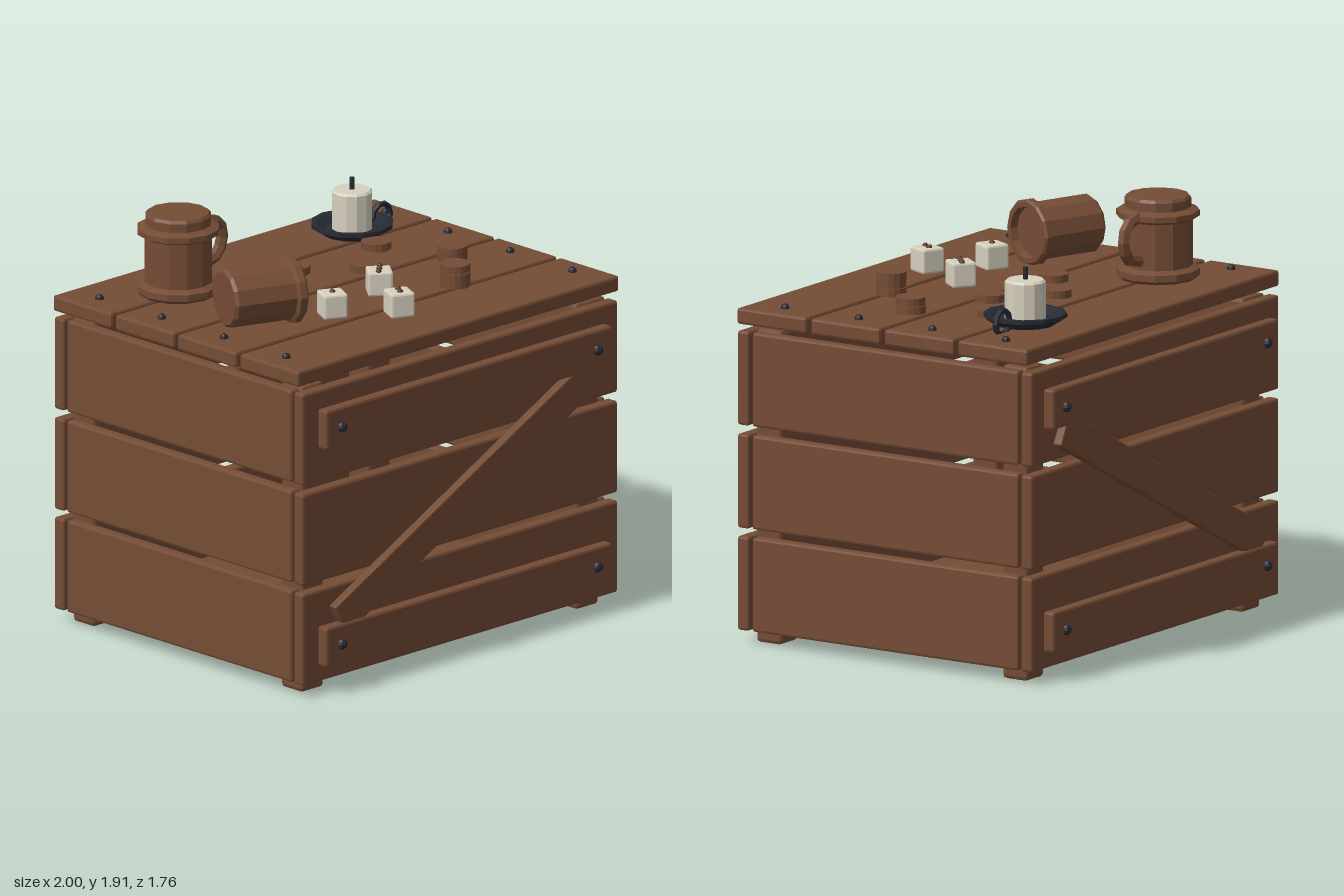
import * as THREE from 'three';
import { RoundedBoxGeometry } from 'three/addons/geometries/RoundedBoxGeometry.js';

const mat = (name, color) => Object.assign(new THREE.MeshStandardMaterial({ color }), { name });

export function createModel() {
  const wood = mat('wood', 0x744c35);
  const iron = mat('iron', 0x272a33);
  const cream = mat('cream', 0xd6d0be);
  const pipBrown = mat('pip brown', 0x5a3726);

  const root = new THREE.Group();
  root.name = 'crateTable';

  // Faceted normals for the low-poly look
  const flat = (geo) => {
    const g = geo.index ? geo.toNonIndexed() : geo;
    g.computeVertexNormals();
    return g;
  };
  const add = (parent, name, geo, material, x = 0, y = 0, z = 0) => {
    const m = new THREE.Mesh(flat(geo), material);
    m.name = name;
    m.position.set(x, y, z);
    parent.add(m);
    return m;
  };
  const group = (name, x = 0, y = 0, z = 0) => {
    const g = new THREE.Group();
    g.name = name;
    g.position.set(x, y, z);
    root.add(g);
    return g;
  };
  // Board with chamfered edges
  const board = (w, h, d, bevel = 0.012) => new RoundedBoxGeometry(w, h, d, 1, bevel);
  const lathe = (points, sides) =>
    new THREE.LatheGeometry(points.map(([r, y]) => new THREE.Vector2(r, y)), sides);

  // Floor and corner posts
  add(root, 'floor', new THREE.BoxGeometry(1.75, 0.05, 1.44), wood, 0, 0.09, 0);
  for (const sx of [-1, 1]) {
    for (const sz of [-1, 1]) {
      add(root, 'cornerPost', board(0.14, 1.43, 0.135, 0.018), wood, sx * 0.855, 0.715, sz * 0.662);
    }
  }

  // Wall planks in three rows
  for (const y of [0.272, 0.738, 1.207]) {
    for (const s of [-1, 1]) {
      add(root, 'wallPlank', board(1.96, 0.43, 0.06), wood, 0, y, s * 0.762);
      add(root, 'sidePlank', board(0.055, 0.43, 1.43), wood, s * 0.95, y, 0);
    }
  }

  // Battens, bolts and diagonal brace on front and back
  for (const s of [-1, 1]) {
    for (const y of [0.23, 1.245]) {
      add(root, 'batten', board(1.78, 0.185, 0.058), wood, 0, y, s * 0.822);
      for (const x of [-0.795, 0.795]) {
        add(root, 'bolt', new THREE.SphereGeometry(0.025, 8, 6), iron, x, y, s * 0.853);
      }
    }
    add(root, 'brace', board(1.77, 0.16, 0.045, 0.008), wood, 0, 0.737, s * 0.82).rotation.z = 0.474;
  }

  // Lid boards with their bolts
  for (const z of [-0.593, -0.197, 0.199, 0.595]) {
    add(root, 'lidPlank', board(2, 0.074, 0.372), wood, 0, 1.493, z);
    for (const x of [-0.89, 0.89]) {
      add(root, 'lidBolt', new THREE.SphereGeometry(0.02, 8, 6), iron, x, 1.533, z);
    }
  }

  // Standing mug: banded body with a stepped top
  const mug = group('standingMug', -0.575, 1.53, -0.415);
  add(mug, 'mugBody', lathe([
    [0, 0], [0.17, 0], [0.187, 0.015], [0.187, 0.045], [0.155, 0.06],
    [0.155, 0.27], [0.187, 0.285], [0.187, 0.31], [0.15, 0.325],
    [0.15, 0.365], [0.14, 0.378], [0, 0.378],
  ], 12), wood);
  const handlePath = new THREE.CatmullRomCurve3(
    [[0.13, 0.295], [0.21, 0.295], [0.265, 0.25], [0.27, 0.18], [0.23, 0.12], [0.13, 0.1]]
      .map(([x, y]) => new THREE.Vector3(x, y, 0)));
  add(mug, 'mugHandle', new THREE.TubeGeometry(handlePath, 8, 0.028, 6), wood);

  // Tipped mug lying on its side, mouth toward +x
  const tipped = group('tippedMug', -0.635, 1.672, 0.165);
  tipped.rotation.y = -0.34;
  add(tipped, 'tippedMugBody', lathe([
    [0, -0.175], [0.122, -0.175], [0.134, -0.16], [0.134, 0.125], [0.152, 0.135],
    [0.152, 0.165], [0.142, 0.175], [0.118, 0.175], [0.113, 0.14], [0, 0.14],
  ], 12), wood).rotation.z = -Math.PI / 2;

  // Candle in a dish with a ring handle
  const candle = group('candleHolder', 0.57, 1.53, -0.48);
  add(candle, 'dish', lathe([
    [0, 0.005], [0.13, 0.005], [0.187, 0.04], [0.187, 0.058], [0.165, 0.058], [0.12, 0.03], [0, 0.03],
  ], 12), iron);
  add(candle, 'dishHandle', new THREE.TorusGeometry(0.055, 0.014, 6, 10), iron, 0.182, 0.045, 0);
  add(candle, 'candle', lathe([
    [0, 0.02], [0.092, 0.02], [0.092, 0.2], [0.082, 0.21], [0, 0.21],
  ], 12), cream);
  add(candle, 'wick', new THREE.CylinderGeometry(0.012, 0.012, 0.07, 6), iron, 0, 0.23, 0);

  // Dice: position, turn and the pips on the top face
  const dice = [
    { x: -0.32, z: 0.305, turn: -0.46, pips: [[0, 0]] },
    { x: 0.06, z: 0.215, turn: -0.65, pips: [[0.03, -0.027], [0, 0], [-0.03, 0.027]] },
    { x: -0.095, z: 0.5, turn: -0.42, pips: [[0.01, -0.017], [-0.01, 0.017]] },
  ];
  for (const d of dice) {
    const die = group('die', d.x, 1.53, d.z);
    add(die, 'dieBody', board(0.113, 0.113, 0.113, 0.01), cream, 0, 0.0565, 0).rotation.y = d.turn;
    for (const [x, z] of d.pips) {
      add(die, 'pip', new THREE.SphereGeometry(0.014, 8, 6), pipBrown, x, 0.113, z);
    }
  }

  // Wooden tokens: x, z and how many are stacked
  const tokens = [
    [0, -0.26, 1], [0.505, -0.26, 1], [-0.255, -0.07, 1],
    [0.245, -0.07, 1], [0.635, 0.09, 2], [0.38, 0.37, 3],
  ];
  for (const [x, z, count] of tokens) {
    for (let i = 0; i < count; i++) {
      const shift = (i % 2) * 0.008;
      add(root, 'token', new THREE.CylinderGeometry(0.068, 0.068, 0.035, 16), wood,
        x - shift, 1.5475 + i * 0.035, z + shift);
    }
  }

  return root;
}
